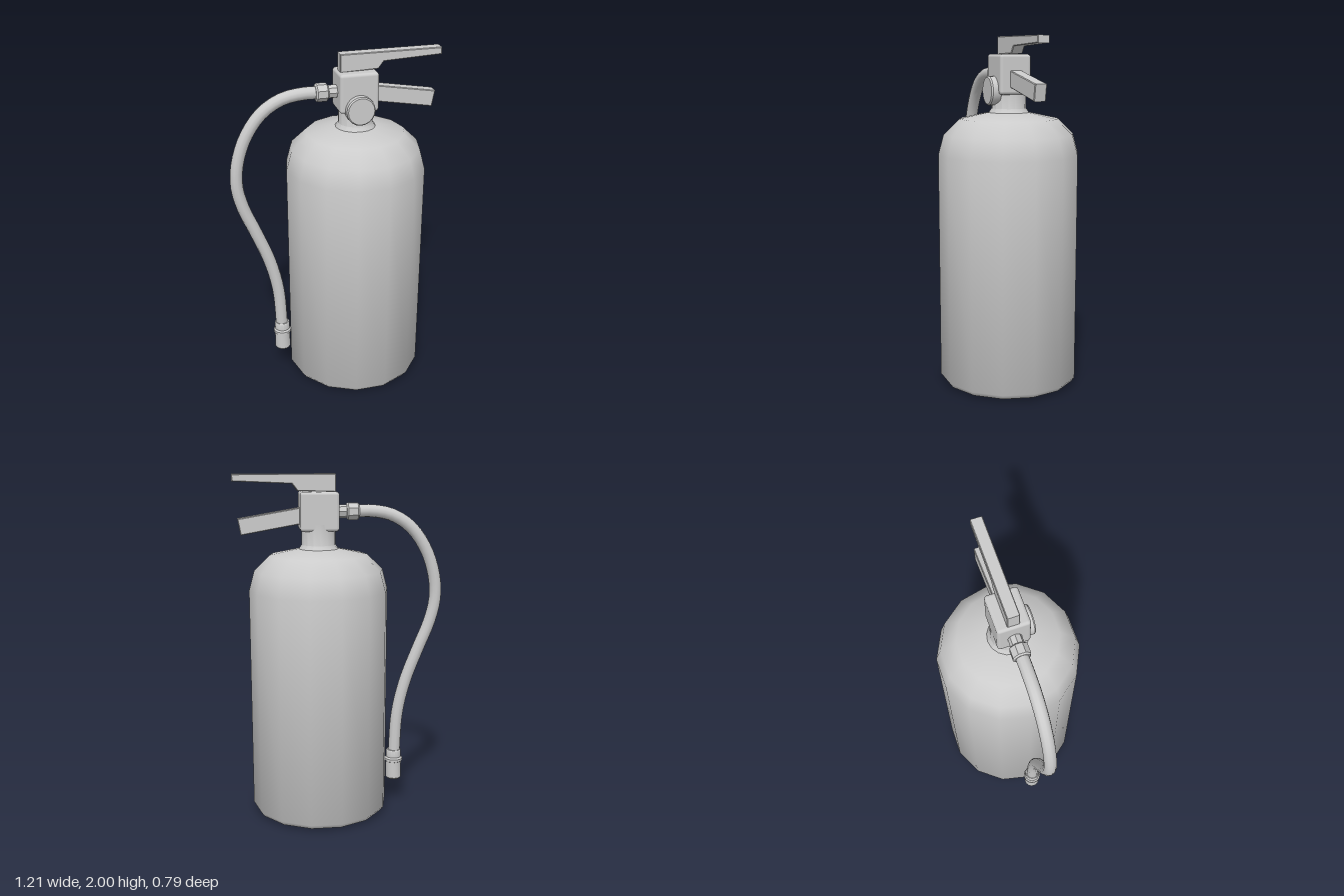
import * as THREE from 'three';
import { toCreasedNormals } from 'three/addons/utils/BufferGeometryUtils.js';
import { RoundedBoxGeometry } from 'three/addons/geometries/RoundedBoxGeometry.js';

const AXIS_X = 0.117; // centre line of the tank
const HOSE_Y = 1.788;

export function createModel() {
  const model = new THREE.Group();
  const material = new THREE.MeshStandardMaterial({ color: 0xcccccc });

  function add(name, geometry, x = 0, y = 0, z = 0) {
    const mesh = new THREE.Mesh(geometry, material);
    mesh.name = name;
    mesh.position.set(x, y, z);
    model.add(mesh);
    return mesh;
  }

  // Turned part from [radius, height] pairs, listed bottom to top
  function turned(profile, sides, crease = 0.6, start = 0) {
    const points = profile.map(([r, y]) => new THREE.Vector2(r, y));
    return toCreasedNormals(new THREE.LatheGeometry(points, sides, start), crease);
  }

  // Flat side outline extruded across z, centred on z = 0
  function plate(outline, width) {
    const shape = new THREE.Shape(outline.map(([x, y]) => new THREE.Vector2(x, y)));
    const bevel = 0.004;
    const geometry = new THREE.ExtrudeGeometry(shape, {
      depth: width - 2 * bevel, bevelThickness: bevel, bevelSize: bevel,
      bevelOffset: -bevel, bevelSegments: 1,
    });
    return geometry.translate(0, 0, bevel - width / 2);
  }

  // Tank with chamfered foot and domed shoulder
  add('tank', turned([
    [0, 0], [0.362, 0.004], [0.384, 0.014], [0.403, 0.04], [0.403, 1.34],
    [0.372, 1.455], [0.282, 1.542], [0.118, 1.577], [0, 1.58],
  ], 14, 0.85, Math.PI / 14), AXIS_X);

  // Neck and valve block
  add('neck', turned([[0.118, 1.572], [0.098, 1.6], [0.096, 1.72]], 16), AXIS_X);
  add('valveBlock', new RoundedBoxGeometry(0.222, 0.222, 0.182, 2, 0.018), AXIS_X - 0.001, 1.791, 0);

  // Pressure gauge on the front of the valve
  const gauge = add('pressureGauge', turned([
    [0, 0], [0.082, 0], [0.082, 0.048], [0.075, 0.056], [0, 0.056],
  ], 20), 0.115, 1.7, 0.074);
  gauge.rotation.x = Math.PI / 2;

  // Squeeze lever and carrying handle
  add('squeezeLever', plate([
    [0.02, 1.898], [0.237, 1.905], [0.268, 1.945], [0.605, 1.96], [0.605, 2], [0.02, 2],
  ], 0.068));
  add('carryHandle', plate([
    [0.18, 1.727], [0.56, 1.66], [0.577, 1.752], [0.18, 1.82],
  ], 0.068));

  // Outlet pipe and hose nut
  const pipe = add('outletPipe', turned([[0.038, -0.04], [0.038, 0.04]], 8), -0.02, HOSE_Y, 0);
  const nut = add('hoseNut', turned([
    [0, -0.036], [0.043, -0.036], [0.052, -0.028], [0.052, 0.028], [0.043, 0.036], [0, 0.036],
  ], 8, 0.5, Math.PI / 8), -0.08, HOSE_Y, 0);
  pipe.rotation.z = nut.rotation.z = Math.PI / 2;

  // Hose looping down the side of the tank
  const path = new THREE.CatmullRomCurve3([
    [-0.08, HOSE_Y], [-0.2, HOSE_Y], [-0.31, 1.765], [-0.42, 1.695], [-0.51, 1.57],
    [-0.562, 1.42], [-0.573, 1.28], [-0.543, 1.14], [-0.475, 0.97], [-0.4, 0.77],
    [-0.355, 0.57], [-0.339, 0.3],
  ].map(([x, y]) => new THREE.Vector3(x, y, 0)));
  add('hose', new THREE.TubeGeometry(path, 40, 0.036, 12));

  // Nozzle: tip, collar ring and ferrule
  add('nozzle', turned([
    [0, 0.157], [0.041, 0.157], [0.047, 0.165], [0.047, 0.266], [0.053, 0.27], [0.053, 0.285],
    [0.045, 0.295], [0.045, 0.335], [0.041, 0.341], [0, 0.341],
  ], 16), -0.338);

  return model;
}
